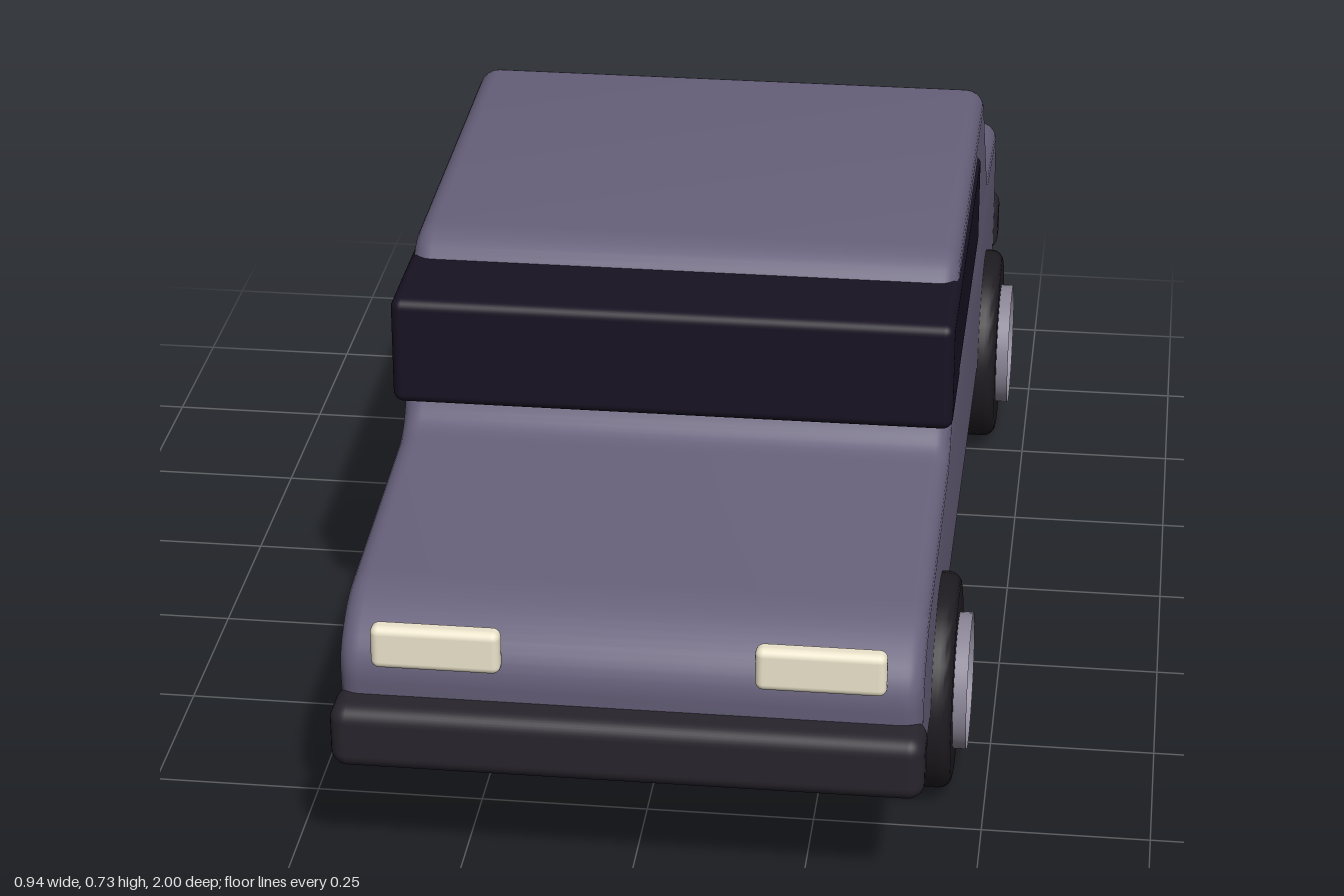
import * as THREE from 'three';
import { toCreasedNormals } from 'three/addons/utils/BufferGeometryUtils.js';
import { RoundedBoxGeometry } from 'three/addons/geometries/RoundedBoxGeometry.js';

const material = (color, side = THREE.FrontSide) => new THREE.MeshStandardMaterial({ color, side });
const paint = material(0x66607a);
const glass = material(0x181222);
const rubber = material(0x1e1b20);
const trim = material(0x28242c);
const metal = material(0x8b8596, THREE.DoubleSide);
const lampWhite = material(0xece4cc);
const lampRed = material(0x660c1c);

function add(parent, name, geometry, mat) {
  const mesh = new THREE.Mesh(geometry, mat);
  mesh.name = name;
  parent.add(mesh);
  return mesh;
}

// Rounded box given by its extents on each axis
function addBox(parent, name, [x0, x1], [y0, y1], [z0, z1], radius, mat) {
  const mesh = add(parent, name, new RoundedBoxGeometry(x1 - x0, y1 - y0, z1 - z0, 4, radius), mat);
  mesh.position.set((x0 + x1) / 2, (y0 + y1) / 2, (z0 + z1) / 2);
  return mesh;
}

// Closed shape from corners [x, y, cut], each corner rounded off
function roundedShape(corners) {
  const shape = new THREE.Shape();
  const n = corners.length;
  corners.forEach(([x, y, cut], i) => {
    const p = new THREE.Vector2(x, y);
    const toward = ([qx, qy]) => new THREE.Vector2(qx, qy).sub(p).setLength(cut).add(p);
    const a = toward(corners[(i + n - 1) % n]);
    const b = toward(corners[(i + 1) % n]);
    if (i === 0) shape.moveTo(a.x, a.y);
    else shape.lineTo(a.x, a.y);
    shape.quadraticCurveTo(x, y, b.x, b.y);
  });
  shape.closePath();
  return shape;
}

// Side profile as [z, y, cut], drawn inside the surface by the bevel size
function bodyGeometry() {
  const bevel = 0.03;
  const halfWidth = 0.42;
  const shape = roundedShape([
    [0.91, 0.195, 0.01], [0.925, 0.34, 0.03], [0.86, 0.39, 0.04],
    [0.4, 0.427, 0.05], [0.262, 0.684, 0.03], [-0.37, 0.7, 0.02],
    [-0.6, 0.45, 0.05], [-0.905, 0.422, 0.015], [-0.922, 0.33, 0.02], [-0.91, 0.195, 0.01],
  ]);
  const geometry = new THREE.ExtrudeGeometry(shape, {
    depth: 2 * (halfWidth - bevel), curveSegments: 6,
    bevelEnabled: true, bevelSize: bevel, bevelThickness: bevel, bevelSegments: 5,
  });
  geometry.translate(0, 0, -(halfWidth - bevel));
  geometry.rotateY(-Math.PI / 2);
  return toCreasedNormals(geometry, 0.6);
}

// Wheel along the x axis, centred on its own origin
function createWheel() {
  const wheel = new THREE.Group();
  const R = 0.163, w = 0.065, r = 0.02;
  const profile = [new THREE.Vector2(0, -w)];
  for (const [cy, start] of [[-w + r, -Math.PI / 2], [w - r, 0]]) {
    for (let i = 0; i <= 4; i++) {
      const a = start + (i / 4) * Math.PI / 2;
      profile.push(new THREE.Vector2(R - r + r * Math.cos(a), cy + r * Math.sin(a)));
    }
  }
  profile.push(new THREE.Vector2(0, w));
  const tyre = toCreasedNormals(new THREE.LatheGeometry(profile, 40), 0.6);
  add(wheel, 'tyre', tyre.rotateZ(-Math.PI / 2), rubber);
  add(wheel, 'rim', new THREE.CylinderGeometry(0.103, 0.103, 0.17, 40, 1, true).rotateZ(Math.PI / 2), metal);
  add(wheel, 'hubCap', new THREE.CylinderGeometry(0.086, 0.086, 0.15, 40).rotateZ(Math.PI / 2), metal);
  return wheel;
}

export function createModel() {
  const car = new THREE.Group();
  car.name = 'car';

  add(car, 'body', bodyGeometry(), paint);

  // Glass
  addBox(car, 'windscreen', [-0.425, 0.425], [0.508, 0.68], [0.27, 0.455], 0.016, glass);
  addBox(car, 'sideWindows', [-0.425, 0.425], [0.52, 0.677], [-0.222, 0.4], 0.012, glass);

  // Bumpers
  addBox(car, 'frontBumper', [-0.427, 0.427], [0.189, 0.289], [0.914, 1], 0.025, trim);
  addBox(car, 'rearBumper', [-0.427, 0.427], [0.189, 0.289], [-1, -0.914], 0.025, trim);

  // Lamps and wheels, mirrored left and right
  for (const [side, s] of [['left', 1], ['right', -1]]) {
    const span = (a, b) => (s > 0 ? [a, b] : [-b, -a]);
    addBox(car, side + 'Headlight', span(0.182, 0.369), [0.338, 0.405], [0.933, 0.964], 0.012, lampWhite);
    addBox(car, side + 'TailLight', span(0.2, 0.38), [0.36, 0.415], [-0.964, -0.93], 0.01, lampRed);
    for (const [end, z] of [['Front', 0.593], ['Rear', -0.593]]) {
      const wheel = createWheel();
      wheel.name = side + end + 'Wheel';
      wheel.position.set(s * 0.385, 0.163, z);
      car.add(wheel);
    }
  }
  return car;
}
